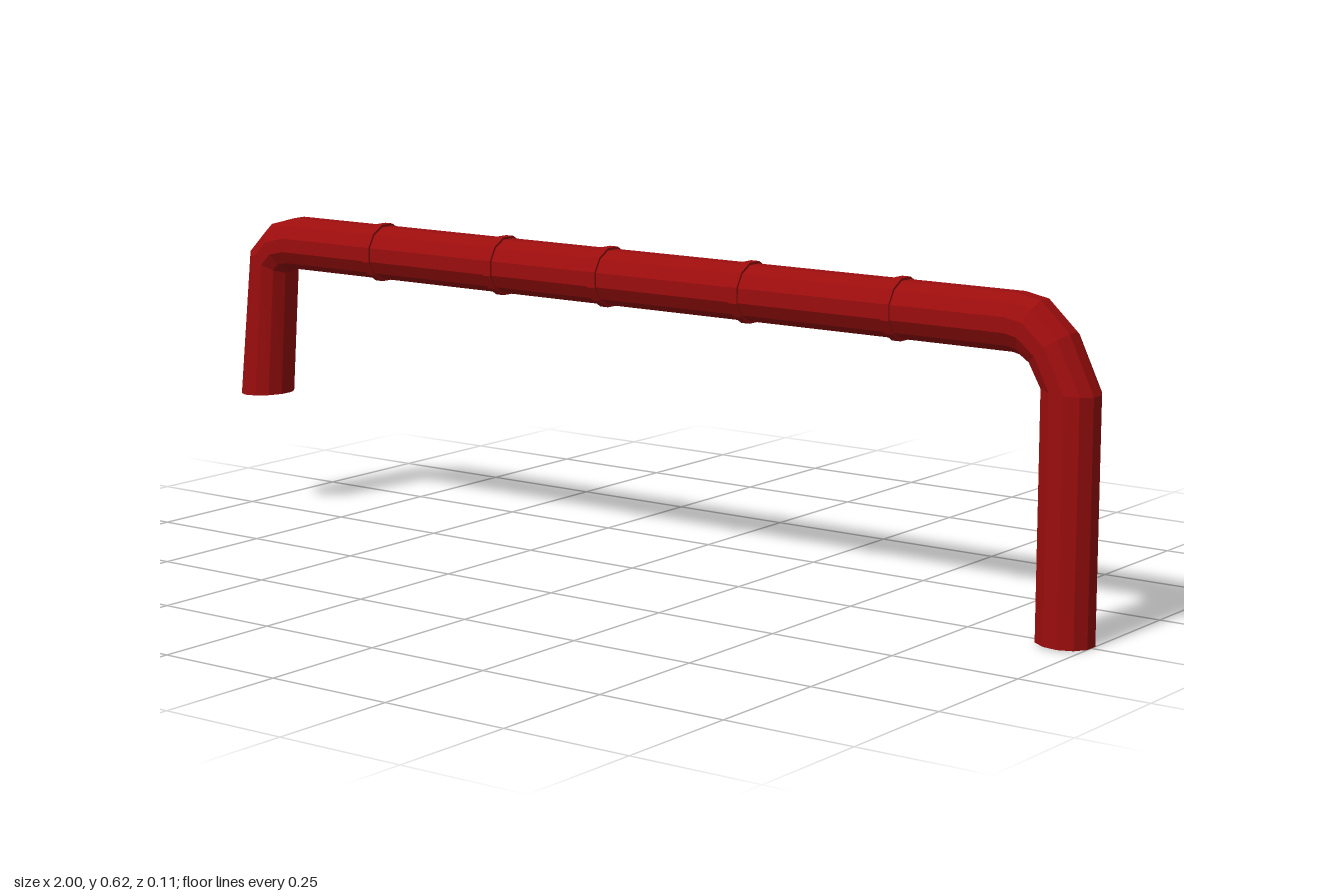
import * as THREE from 'three';

const SIDES = 12;
const RADIUS = 0.0543;
const FLAT = Math.cos(Math.PI / SIDES);
const BAR_Y = 0.56;

// Tube through mitred rings, each given as [outer x, outer y, inner x, inner y] at its flats
function sweptPipe(rings) {
  const pos = [], index = [];
  for (const [ox, oy, ix, iy] of rings) {
    const cx = (ox + ix) / 2, cy = (oy + iy) / 2;
    const ux = (ox - cx) / FLAT, uy = (oy - cy) / FLAT;
    for (let j = 0; j < SIDES; j++) {
      const a = ((j + 0.5) / SIDES) * Math.PI * 2;
      pos.push(cx + ux * Math.cos(a), cy + uy * Math.cos(a), RADIUS * Math.sin(a));
    }
  }
  const last = (rings.length - 1) * SIDES;
  for (let i = 0; i < last; i += SIDES) {
    for (let j = 0; j < SIDES; j++) {
      const k = (j + 1) % SIDES;
      const a = i + j, b = i + k, c = a + SIDES, d = b + SIDES;
      index.push(a, b, c, b, d, c);
    }
  }
  // End caps
  for (let j = 1; j < SIDES - 1; j++) {
    index.push(0, j + 1, j, last, last + j, last + j + 1);
  }
  const geo = new THREE.BufferGeometry();
  geo.setAttribute('position', new THREE.Float32BufferAttribute(pos, 3));
  geo.setIndex(index);
  const flat = geo.toNonIndexed();
  flat.computeVertexNormals();
  return flat;
}

export function createModel() {
  const group = new THREE.Group();
  group.name = 'bentPipe';
  const red = new THREE.MeshStandardMaterial({ color: 0x9c0d0d, flatShading: true, side: THREE.DoubleSide });

  // Short splayed leg, top bar and long leg in one bent tube
  const pipe = new THREE.Mesh(sweptPipe([
    [-1.0, 0.238, -0.896, 0.243],
    [-0.964, 0.545, -0.879, 0.497],
    [-0.914, 0.595, -0.872, 0.505],
    [-0.85, 0.612, -0.852, 0.508],
    [0.845, 0.612, 0.838, 0.508],
    [0.892, 0.603, 0.852, 0.505],
    [0.95, 0.55, 0.874, 0.49],
    [1.0, 0.445, 0.895, 0.455],
    [1.0, 0.0, 0.895, 0.005],
  ]), red);
  pipe.name = 'pipe';
  group.add(pipe);

  // Raised collars along the bar
  const collarGeo = new THREE.CylinderGeometry(0.0585, 0.0585, 0.018, SIDES);
  collarGeo.rotateY(Math.PI / SIDES);
  collarGeo.rotateZ(Math.PI / 2);
  [-0.622, -0.31, -0.055, 0.272, 0.6].forEach((x, i) => {
    const collar = new THREE.Mesh(collarGeo, red);
    collar.name = `collar${i + 1}`;
    collar.position.set(x, BAR_Y, 0);
    group.add(collar);
  });
  return group;
}
